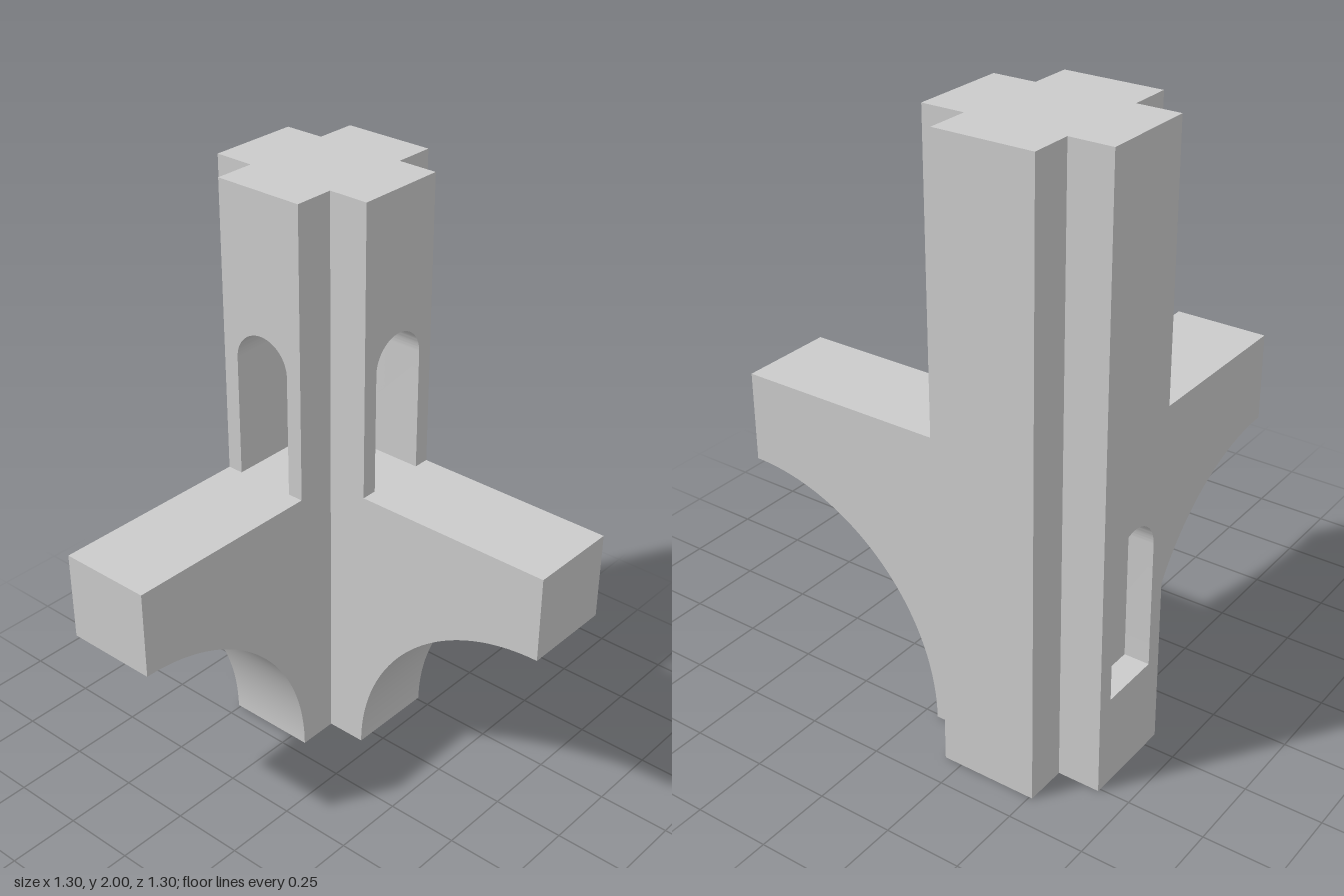
import * as THREE from 'three';
import { toCreasedNormals } from 'three/addons/utils/BufferGeometryUtils.js';

const HALF = 0.3;       // half width of the cross-shaped post
const RIB = 0.16;       // half width of each rib and bracket
const R = 0.105;        // radius of the arched openings
const SPRING = 0.42;    // height from sill to start of the arch
const NICHE = 0.085;    // depth of the back niche
const TOP = 2, LEDGE = 1;

const material = new THREE.MeshStandardMaterial({ color: 0xcccccc });

function add(parent, name, geometry) {
  const mesh = new THREE.Mesh(geometry, material);
  mesh.name = name;
  parent.add(mesh);
  return mesh;
}

function extrude(shape, depth) {
  const g = new THREE.ExtrudeGeometry(shape, { depth, bevelEnabled: false, curveSegments: 32 });
  return toCreasedNormals(g, 0.5);
}

// Box given by its two opposite corners
function block(x0, x1, y0, y1, z0, z1) {
  return new THREE.BoxGeometry(x1 - x0, y1 - y0, z1 - z0)
    .translate((x0 + x1) / 2, (y0 + y1) / 2, (z0 + z1) / 2);
}

// Traces an arched opening from its left foot to its right foot
function traceArch(path, sill) {
  path.lineTo(-R, sill + SPRING);
  path.absarc(0, sill + SPRING, R, Math.PI, 0, true);
  path.lineTo(R, sill);
}

// One side of the post: an arched wall above and a curved bracket below, facing +z
function archedSide(name, angle) {
  const side = new THREE.Group();
  side.name = name;
  side.rotation.y = angle;

  const wall = new THREE.Shape();
  wall.moveTo(-RIB, LEDGE);
  wall.lineTo(-R, LEDGE);
  traceArch(wall, LEDGE);
  wall.lineTo(RIB, LEDGE);
  wall.lineTo(RIB, TOP);
  wall.lineTo(-RIB, TOP);
  add(side, 'archedWall', extrude(wall, HALF - R).translate(0, 0, R));

  const arm = new THREE.Shape();
  arm.moveTo(HALF, 0);
  arm.absarc(1, 0, 0.7, Math.PI, Math.PI / 2, true);
  arm.lineTo(1, LEDGE);
  arm.lineTo(HALF, LEDGE);
  add(side, 'bracket', extrude(arm, 2 * RIB).translate(0, 0, -RIB).rotateY(-Math.PI / 2));
  return side;
}

export function createModel() {
  const model = new THREE.Group();
  model.name = 'bracketedPost';
  const post = new THREE.Group();
  post.name = 'post';
  post.position.set(0.35, 0, -0.35);
  model.add(post);

  // Lower post: cross plan, with the back rib shortened to take the niche panel
  const back = HALF - NICHE;
  const cross = new THREE.Shape([
    [-RIB, -HALF], [RIB, -HALF], [RIB, -RIB], [HALF, -RIB], [HALF, RIB], [RIB, RIB],
    [RIB, back], [-RIB, back], [-RIB, RIB], [-HALF, RIB], [-HALF, -RIB], [-RIB, -RIB],
  ].map(([x, y]) => new THREE.Vector2(x, y)));
  add(post, 'lowerPost', extrude(cross, LEDGE).rotateX(-Math.PI / 2));

  // Back panel with the shallow arched niche
  const panel = new THREE.Shape();
  panel.moveTo(-RIB, 0);
  panel.lineTo(RIB, 0);
  panel.lineTo(RIB, LEDGE);
  panel.lineTo(-RIB, LEDGE);
  const niche = new THREE.Path();
  niche.moveTo(-R, 0.3);
  traceArch(niche, 0.3);
  panel.holes.push(niche);
  add(post, 'nichePanel', extrude(panel, NICHE).translate(0, 0, -HALF));

  // Upper post: two solid ribs and the core above the passage
  add(post, 'sideRib', block(R, HALF, LEDGE, TOP, -RIB, RIB));
  add(post, 'backRib', block(-RIB, RIB, LEDGE, TOP, -HALF, -R));
  add(post, 'core', block(-R, R, LEDGE + SPRING + R, TOP, -R, R));

  // Vault where the two arched passages meet
  const vault = new THREE.PlaneGeometry(2 * R, 2 * R, 24, 24).rotateX(Math.PI / 2);
  const p = vault.attributes.position;
  const rise = (t) => Math.sqrt(Math.max(0, R * R - t * t));
  for (let i = 0; i < p.count; i++) {
    p.setY(i, LEDGE + SPRING + Math.max(rise(p.getX(i)), rise(p.getZ(i))));
  }
  add(post, 'passageVault', toCreasedNormals(vault, 0.5));

  // Matching arched sides at the front and the right
  post.add(archedSide('frontSide', 0), archedSide('rightSide', -Math.PI / 2));
  return model;
}
